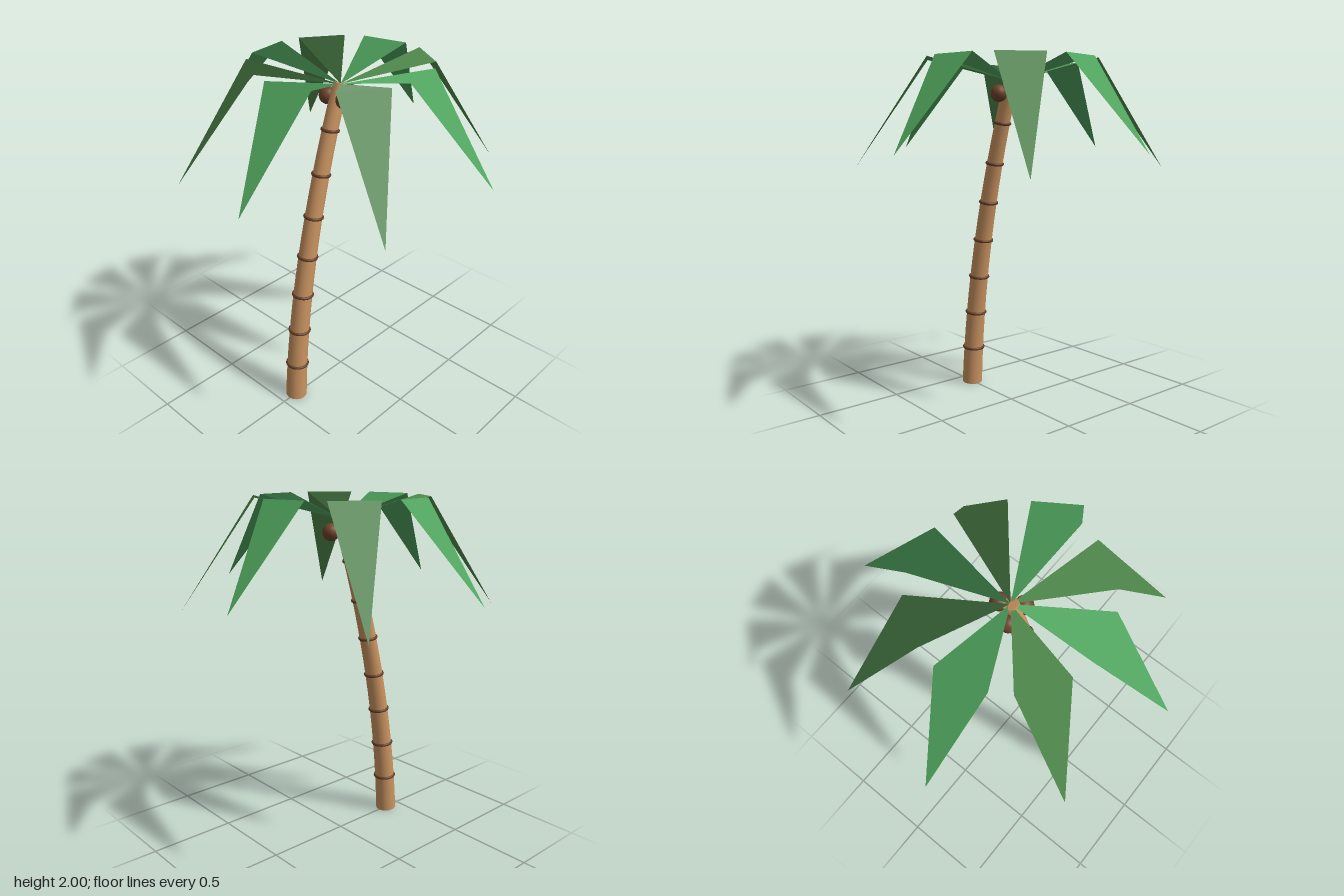
import * as THREE from 'three';

const mat = (name, color, side = THREE.FrontSide) => {
  const m = new THREE.MeshStandardMaterial({ color, side });
  m.name = name;
  return m;
};

// Four-cornered frond along +x, folded across its widest line
function frondGeometry(tipY) {
  const baseY = 1.875, foldX = 0.467, foldY = 2, half = 0.133, tipX = 0.883;
  const geo = new THREE.BufferGeometry();
  geo.setAttribute('position', new THREE.Float32BufferAttribute([
    0, baseY, 0,
    foldX, foldY, half,
    foldX, foldY, -half,
    tipX, tipY, 0,
  ], 3));
  geo.setIndex([0, 1, 2, 1, 3, 2]);
  // one shading direction for the whole blade
  const n = new THREE.Vector3(foldY - tipY, tipX - foldX, 0).normalize();
  geo.setAttribute('normal', new THREE.Float32BufferAttribute(
    [0, 1, 2, 3].flatMap(() => n.toArray()), 3));
  return geo;
}

export function createModel() {
  const model = new THREE.Group();
  model.name = 'palmTree';

  const bark = mat('bark', 0xc99360);
  const ringBrown = mat('ringBrown', 0x653c25);
  const nutBrown = mat('nutBrown', 0x6e432b);
  const brightGreen = mat('brightGreen', 0x4fa35d, THREE.DoubleSide);
  const oliveGreen = mat('oliveGreen', 0x4f884c, THREE.DoubleSide);

  const add = (name, geo, material, parent = model) => {
    const mesh = new THREE.Mesh(geo, material);
    mesh.name = name;
    parent.add(mesh);
    return mesh;
  };

  // Leaning trunk: a tapered cylinder bent along a curve
  const curve = new THREE.QuadraticBezierCurve3(
    new THREE.Vector3(-0.397, 0.004, 0),
    new THREE.Vector3(-0.342, 0.94, 0),
    new THREE.Vector3(0, 1.88, 0));
  const lean = (t) => {
    const d = curve.getTangent(t);
    return Math.atan2(d.x, d.y);
  };
  const radius = (t) => 0.0625 - 0.0215 * t;
  const trunk = new THREE.CylinderGeometry(radius(1), radius(0), 1, 16, 16);
  const pos = trunk.attributes.position, nor = trunk.attributes.normal;
  const v = new THREE.Vector3(), zAxis = new THREE.Vector3(0, 0, 1);
  for (let i = 0; i < pos.count; i++) {
    const t = THREE.MathUtils.clamp(pos.getY(i) + 0.5, 0, 1);
    v.set(pos.getX(i), 0, pos.getZ(i)).applyAxisAngle(zAxis, -lean(t)).add(curve.getPoint(t));
    pos.setXYZ(i, v.x, v.y, v.z);
    v.fromBufferAttribute(nor, i).applyAxisAngle(zAxis, -lean(t));
    nor.setXYZ(i, v.x, v.y, v.z);
  }
  add('trunk', trunk, bark);

  // Bark rings at even steps up the trunk
  const rings = new THREE.Group();
  rings.name = 'trunkRings';
  model.add(rings);
  for (let k = 1; k < 8; k++) {
    const t = k / 8;
    const geo = new THREE.TorusGeometry(radius(t), 0.009, 8, 24).rotateX(Math.PI / 2);
    const ring = add('trunkRing', geo, ringBrown, rings);
    ring.position.copy(curve.getPoint(t));
    ring.rotation.z = -lean(t) * 0.6;
  }

  // Three coconuts around the top
  for (let i = 0; i < 3; i++) {
    const a = (i * Math.PI * 2) / 3;
    const nut = add('coconut', new THREE.SphereGeometry(0.048, 20, 14), nutBrown);
    nut.position.set(0.07 * Math.cos(a), 1.81, 0.07 * Math.sin(a));
  }

  // Crown of eight fronds, alternating in droop and colour
  const crown = new THREE.Group();
  crown.name = 'crown';
  model.add(crown);
  const kinds = [[frondGeometry(1.49), brightGreen], [frondGeometry(1.39), oliveGreen]];
  for (let i = 0; i < 8; i++) {
    const frond = add('frond', ...kinds[i % 2], crown);
    frond.rotation.y = 0.2 - (i * Math.PI) / 4;
  }
  return model;
}
